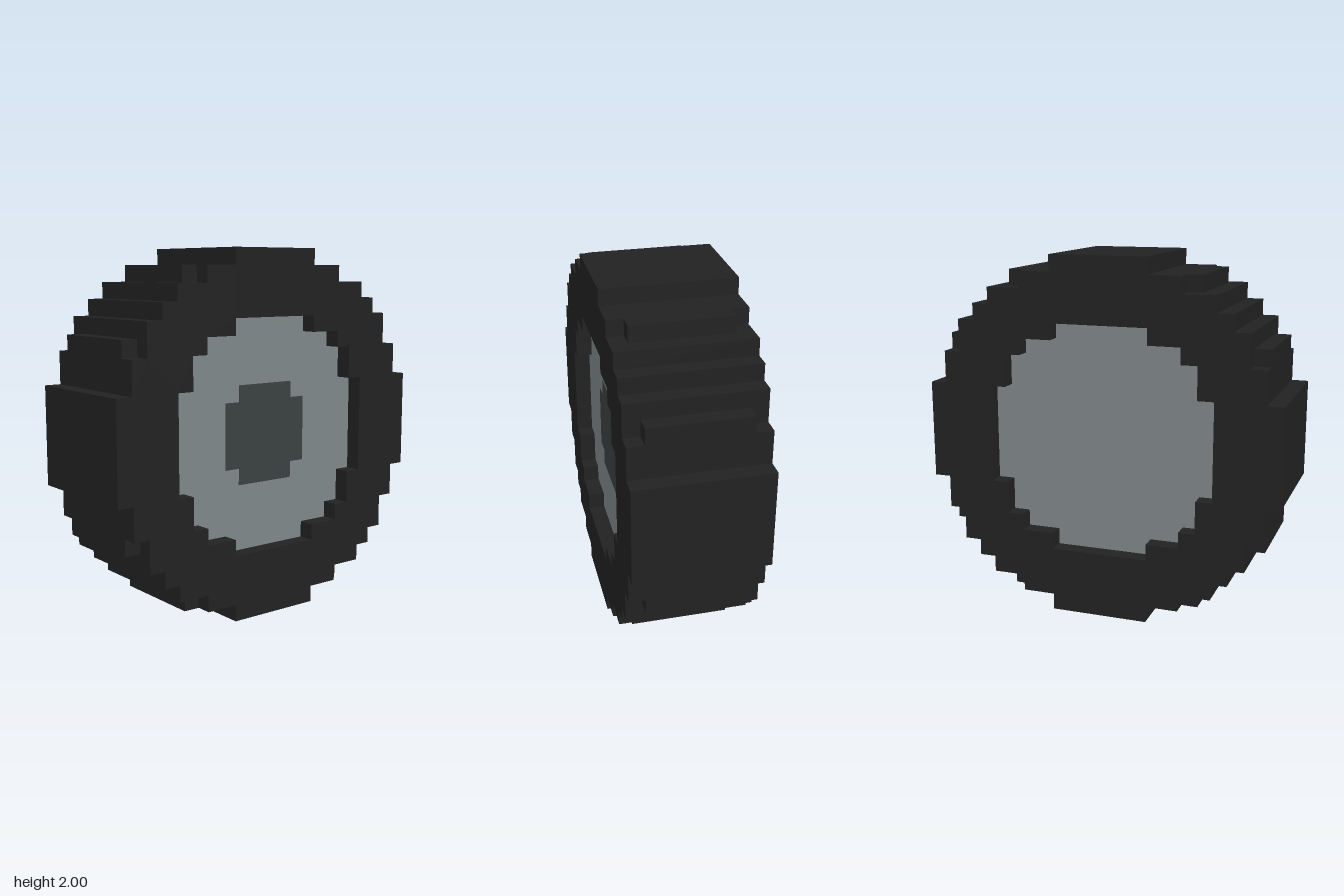
import * as THREE from 'three';

const U = 1 / 11; // one block

const tyreBlack = new THREE.MeshStandardMaterial({ name: 'tyreBlack', color: 0x222222 });
const rimGrey = new THREE.MeshStandardMaterial({ name: 'rimGrey', color: 0x7f878a });
const hubDark = new THREE.MeshStandardMaterial({ name: 'hubDark', color: 0x3b4141 });

// Half widths and half heights of each step, in blocks, from the side to the top
const TYRE = [[11, 3], [10, 5], [9, 7], [8, 8], [7, 9], [5, 10], [3, 11]];
const RIM = [[7, 3], [6, 5], [5, 6], [3, 7]];
const HUB = [[3, 2], [2, 3]];

// Stepped round outline, mirrored into all four quadrants
function outline(steps) {
  const quarter = [];
  steps.forEach(([x, y], i) => {
    if (i > 0) quarter.push([x, steps[i - 1][1]]);
    quarter.push([x, y]);
  });
  const back = [...quarter].reverse();
  const mirror = (list, sx, sy) => list.map(([x, y]) => new THREE.Vector2(x * sx * U, y * sy * U));
  return [
    ...mirror(quarter, 1, 1), ...mirror(back, -1, 1),
    ...mirror(quarter, -1, -1), ...mirror(back, 1, -1),
  ];
}

function slab(name, shape, z0, z1, material) {
  const geometry = new THREE.ExtrudeGeometry(shape, { depth: z1 - z0, bevelEnabled: false });
  geometry.translate(0, 0, z0);
  const mesh = new THREE.Mesh(geometry, material);
  mesh.name = name;
  return mesh;
}

export function createModel() {
  const wheel = new THREE.Group();
  wheel.name = 'wheel';
  wheel.position.y = 1;

  // Tyre ring
  const ring = new THREE.Shape(outline(TYRE));
  ring.holes.push(new THREE.Path(outline(RIM).reverse()));
  wheel.add(slab('tyre', ring, -4 * U, 4 * U, tyreBlack));

  // Narrower tread blocks filling eight of the steps
  const treads = new THREE.Group();
  treads.name = 'treadBlocks';
  const block = new THREE.BoxGeometry(U, U, 6 * U);
  for (const [x, y] of [[5.5, 9.5], [9.5, 5.5]]) {
    for (const sx of [-1, 1]) {
      for (const sy of [-1, 1]) {
        const tread = new THREE.Mesh(block, tyreBlack);
        tread.name = 'treadBlock';
        tread.position.set(x * sx * U, y * sy * U, 0);
        treads.add(tread);
      }
    }
  }
  wheel.add(treads);

  // Rim disc set back on both sides, with a hub patch on the front only
  wheel.add(slab('rim', new THREE.Shape(outline(RIM)), -3 * U, 3 * U, rimGrey));
  wheel.add(slab('hub', new THREE.Shape(outline(HUB)), 3 * U, 3 * U + 0.004, hubDark));

  const model = new THREE.Group();
  model.name = 'model';
  model.add(wheel);
  return model;
}
